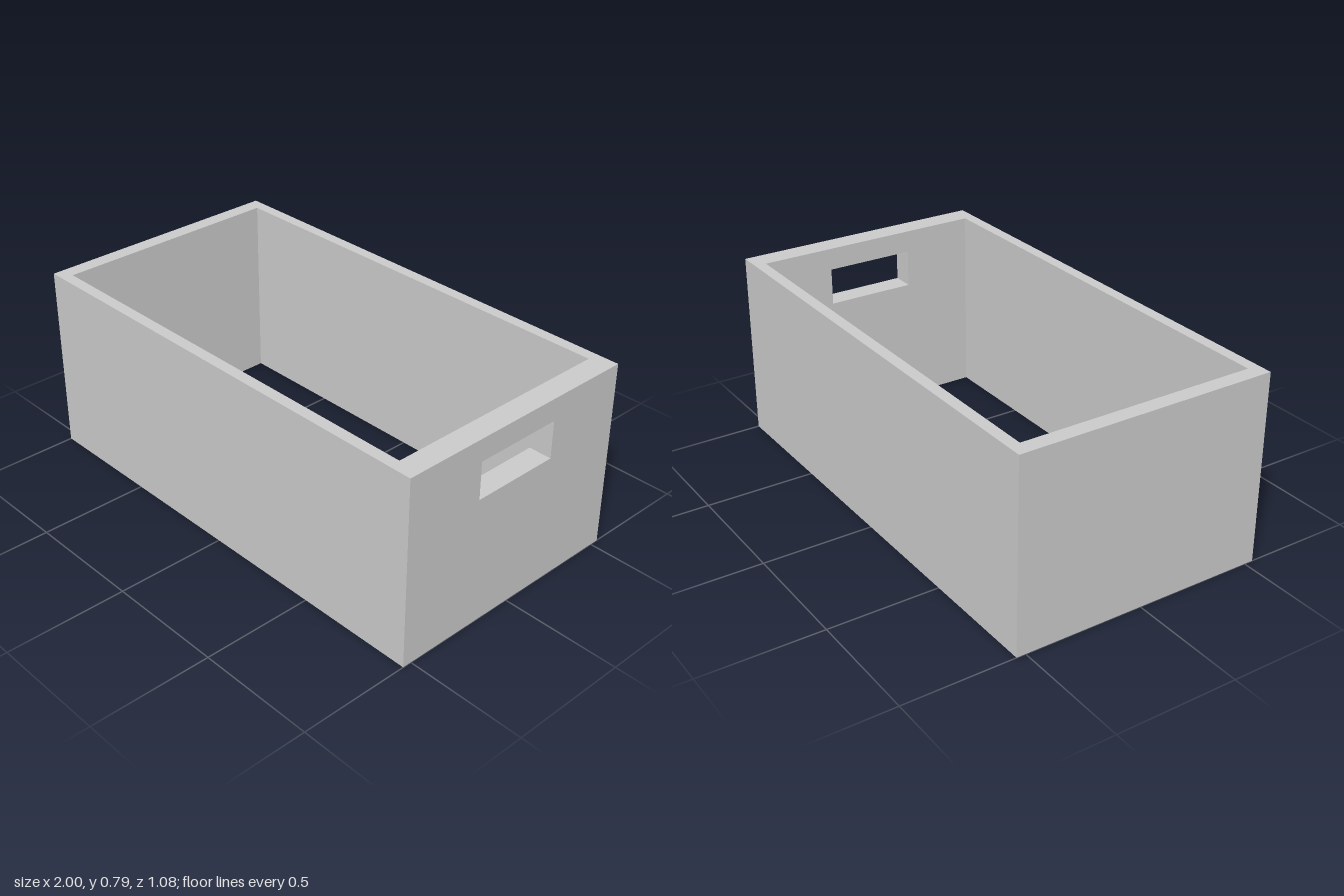
import * as THREE from 'three';

const HEIGHT = 0.79, HALF_X = 1, HALF_Z = 0.538;
const INNER_LEFT = 0.904, INNER_RIGHT = -0.936, INNER_Z = 0.49;

const polygon = (points) => new THREE.Shape(points.map(([x, y]) => new THREE.Vector2(x, y)));

export function createModel() {
  const group = new THREE.Group();
  group.name = 'openBox';
  const material = new THREE.MeshStandardMaterial({ color: 0xcccccc, flatShading: true });

  const addPart = (name, geometry) => {
    const mesh = new THREE.Mesh(geometry, material);
    mesh.name = name;
    group.add(mesh);
  };

  // Front, back and plain end walls: a U-shaped plan raised to full height
  const plan = polygon([
    [-HALF_X, -HALF_Z], [INNER_LEFT, -HALF_Z], [INNER_LEFT, -INNER_Z], [INNER_RIGHT, -INNER_Z],
    [INNER_RIGHT, INNER_Z], [INNER_LEFT, INNER_Z], [INNER_LEFT, HALF_Z], [-HALF_X, HALF_Z],
  ]);
  const walls = new THREE.ExtrudeGeometry(plan, { depth: HEIGHT, bevelEnabled: false });
  addPart('walls', walls.rotateX(-Math.PI / 2));

  // Thicker end wall with the hand hole cut through it
  const panel = polygon([[-HALF_Z, 0], [HALF_Z, 0], [HALF_Z, HEIGHT], [-HALF_Z, HEIGHT]]);
  panel.holes.push(polygon([[-0.189, 0.539], [-0.189, 0.696], [0.189, 0.696], [0.189, 0.539]]));
  const handleWall = new THREE.ExtrudeGeometry(panel, { depth: HALF_X - INNER_LEFT, bevelEnabled: false });
  addPart('handleWall', handleWall.rotateY(Math.PI / 2).translate(INNER_LEFT, 0, 0));

  return group;
}
